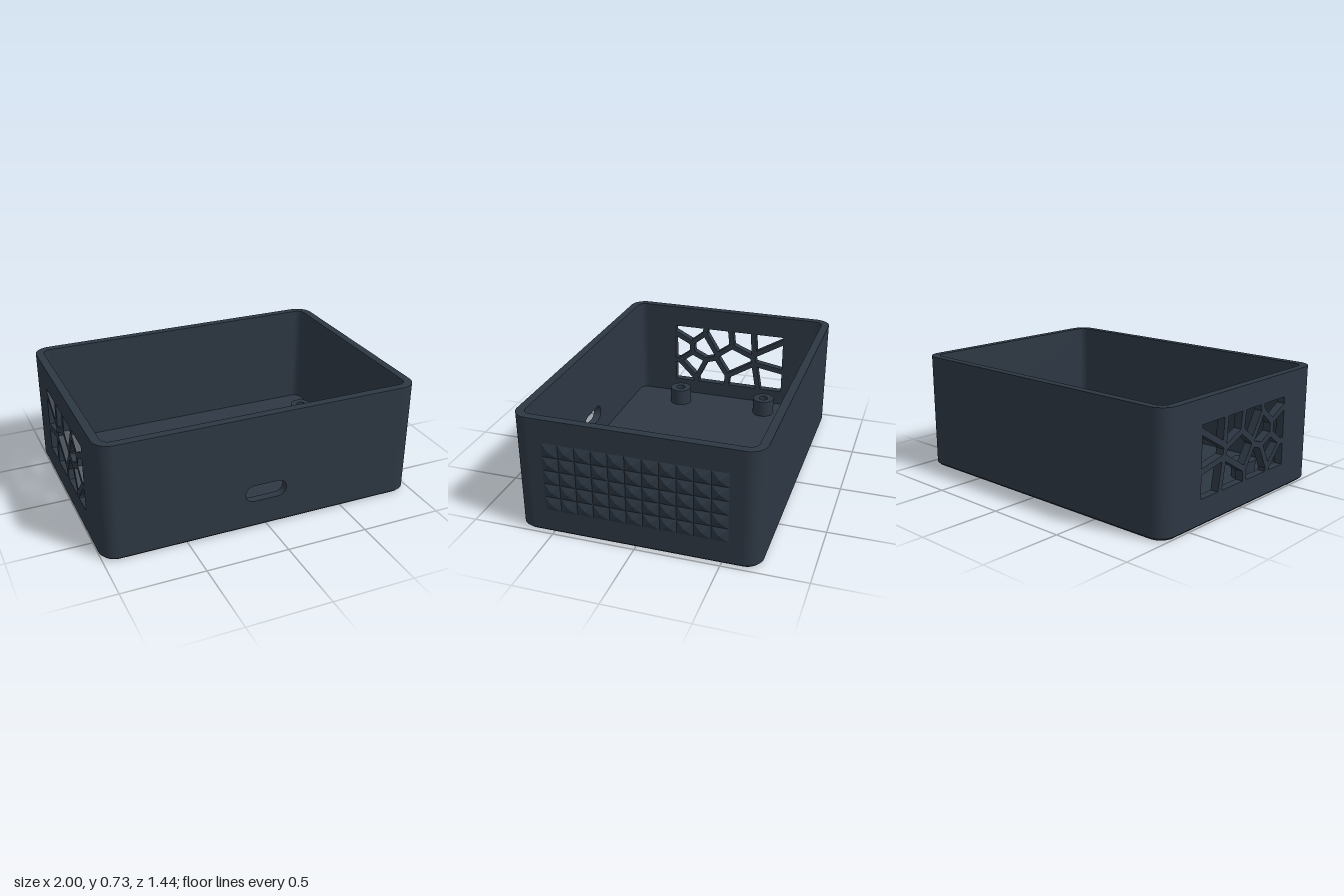
import * as THREE from 'three';
import { mergeGeometries, toCreasedNormals } from 'three/addons/utils/BufferGeometryUtils.js';

const HX = 0.99, HZ = 0.72, TOP = 0.725;      // half sizes and height
const WALL = 0.05, R = 0.1, BASE = 0.03, FLOOR = 0.06;

// Keep the part of a polygon on the inner side of a line (n . p <= d)
function clip(poly, n, d) {
  const out = [];
  poly.forEach((a, i) => {
    const b = poly[(i + 1) % poly.length];
    const da = a.dot(n) - d, db = b.dot(n) - d;
    if (da <= 0) out.push(a);
    if (da * db < 0) out.push(a.clone().lerp(b, da / (da - db)));
  });
  return out;
}

// Cell-shaped vent openings, shrunk so that ribs remain between them
function ventHoles() {
  const rib = 0.036;
  const seeds = [
    [-0.3, 0.24], [-0.33, 0.42], [-0.26, 0.54], [-0.13, 0.21], [-0.04, 0.36],
    [-0.11, 0.53], [0.07, 0.51], [0.14, 0.24], [0.26, 0.3], [0.2, 0.43],
    [0.35, 0.42], [0.29, 0.54], [0.36, 0.2]
  ].map(p => new THREE.Vector2(...p));
  return seeds.map(s => {
    let poly = [[-0.4, 0.16], [0.4, 0.16], [0.4, 0.58], [-0.4, 0.58]].map(p => new THREE.Vector2(...p));
    for (const o of seeds) {
      if (o === s) continue;
      const n = o.clone().sub(s).normalize();
      poly = clip(poly, n, s.clone().add(o).multiplyScalar(0.5).dot(n) - rib / 2);
    }
    return new THREE.Path(poly);
  });
}

// Rounded slot centred on x = 0
function slotHole(y, halfLength, r) {
  const p = new THREE.Path();
  p.absarc(halfLength - r, y, r, -Math.PI / 2, Math.PI / 2, false);
  p.absarc(-halfLength + r, y, r, Math.PI / 2, Math.PI * 1.5, false);
  p.closePath();
  return p;
}

function wallPanel(half, holes = []) {
  const s = new THREE.Shape([[-half, BASE], [half, BASE], [half, TOP], [-half, TOP]].map(p => new THREE.Vector2(...p)));
  s.holes.push(...holes);
  const g = new THREE.ExtrudeGeometry(s, { depth: WALL, bevelEnabled: false, curveSegments: 16 });
  return toCreasedNormals(g, 0.5);
}

function roundedRect(hx, hz, r) {
  const s = new THREE.Shape();
  s.absarc(hx - r, hz - r, r, 0, Math.PI / 2, false);
  s.absarc(-hx + r, hz - r, r, Math.PI / 2, Math.PI, false);
  s.absarc(-hx + r, -hz + r, r, Math.PI, Math.PI * 1.5, false);
  s.absarc(hx - r, -hz + r, r, Math.PI * 1.5, Math.PI * 2, false);
  return s;
}

export function createModel() {
  const group = new THREE.Group();
  const mat = new THREE.MeshStandardMaterial({ color: 0x2d3743 });
  mat.name = 'dark slate';
  const add = (name, geometry, x = 0, y = 0, z = 0) => {
    const m = new THREE.Mesh(geometry, mat);
    m.name = name;
    m.position.set(x - 0.01, y, z);
    group.add(m);
    return m;
  };

  // Floor plate with a chamfered lower edge
  const c = 0.015;
  const floor = new THREE.ExtrudeGeometry(roundedRect(HX, HZ, R), {
    depth: FLOOR - 2 * c, bevelThickness: c, bevelSize: c, bevelOffset: -c, bevelSegments: 1, curveSegments: 12
  });
  floor.rotateX(-Math.PI / 2);
  add('floor', toCreasedNormals(floor, 0.5), 0, c, 0);

  // Straight walls: slot in the front, cell vent in one side
  add('frontWall', wallPanel(HX - R, [slotHole(0.23, 0.13, 0.052)]), 0, 0, HZ - WALL);
  add('backWall', wallPanel(HX - R), 0, 0, -HZ);
  add('ventWall', wallPanel(HZ - R, ventHoles()), -HX + WALL).rotation.y = -Math.PI / 2;
  add('grilleWall', wallPanel(HZ - R), HX).rotation.y = -Math.PI / 2;

  // Rounded corners joining the walls
  const arc = new THREE.Shape();
  arc.absarc(0, 0, R, 0, Math.PI / 2, false);
  arc.absarc(0, 0, R - WALL, Math.PI / 2, 0, true);
  const corner = toCreasedNormals(
    new THREE.ExtrudeGeometry(arc, { depth: TOP - BASE, bevelEnabled: false, curveSegments: 12 }).rotateX(-Math.PI / 2), 0.5);
  [[1, -1], [-1, -1], [-1, 1], [1, 1]].forEach(([sx, sz], i) => {
    add('cornerWall', corner, sx * (HX - R), BASE, sz * (HZ - R)).rotation.y = i * Math.PI / 2;
  });

  // Screw posts with blind holes
  const profile = [[0.073, 0.05], [0.073, 0.17], [0.031, 0.17], [0.031, 0.07], [0, 0.07]].map(p => new THREE.Vector2(...p));
  const post = toCreasedNormals(new THREE.LatheGeometry(profile, 32), 0.5);
  for (const sx of [-1, 1]) for (const sz of [-1, 1]) add('screwPost', post, sx * 0.778, 0, sz * 0.31);

  // Raised grip panel of small pyramids on the other side
  const cols = 11, rows = 5, pz = 1.08 / cols, py = 0.43 / rows, h = 0.02;
  const stud = new THREE.ConeGeometry(Math.SQRT1_2, 1, 4, 1, true).rotateY(Math.PI / 4)
    .scale(py, h, pz).rotateZ(-Math.PI / 2).toNonIndexed();
  stud.computeVertexNormals();
  const studs = [];
  for (let i = 0; i < cols; i++) for (let j = 0; j < rows; j++) {
    studs.push(stud.clone().translate(HX + h / 2, 0.15 + (j + 0.5) * py, -0.54 + (i + 0.5) * pz));
  }
  add('gripPanel', mergeGeometries(studs));

  return group;
}
